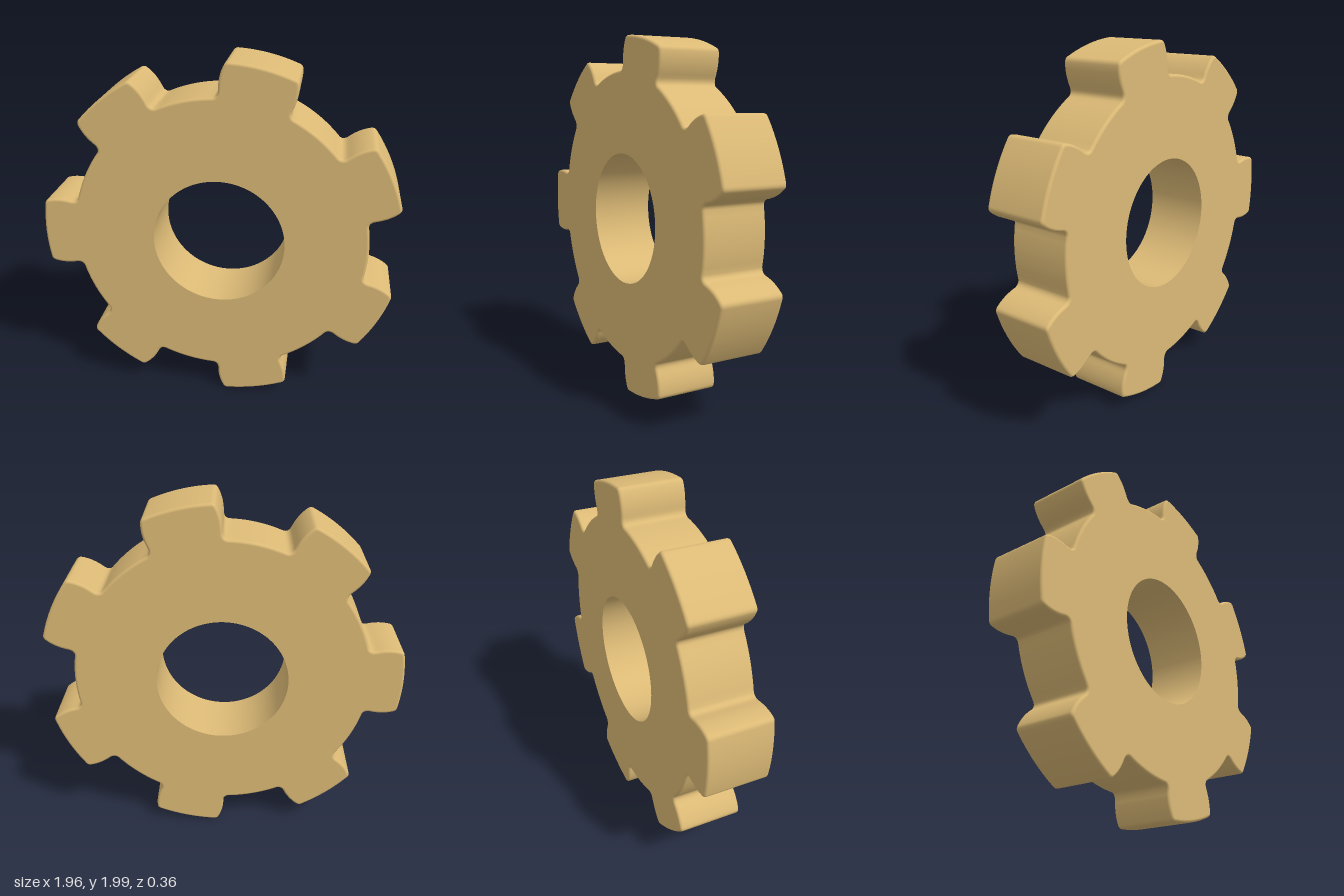
import * as THREE from 'three';

const TEETH = 7, ROOT = 0.815, TIP = 0.997, HOLE = 0.364;
const HALF_DEPTH = 0.18, BEVEL = 0.016, BEVEL_STEPS = 5;
const V = (x, y) => new THREE.Vector2(x, y);
const onCircle = (r, a) => V(r * Math.cos(a), r * Math.sin(a));

// Half a tooth pointing along +x, from root fillet over the bulged flank to the tip corner
function halfTooth() {
  const rootAngle = THREE.MathUtils.degToRad(15), tipAngle = THREE.MathUtils.degToRad(9.5);
  const curves = [
    [onCircle(ROOT, rootAngle), V(0.797, 0.189), V(0.825, 0.192), 6],
    [V(0.825, 0.192), V(0.9, 0.21), V(0.962, 0.192), 8],
    [V(0.962, 0.192), V(0.981, 0.186), onCircle(TIP, tipAngle), 6],
  ];
  const points = curves.flatMap(([a, b, c, n], i) =>
    new THREE.QuadraticBezierCurve(a, b, c).getPoints(n).slice(i ? 1 : 0));
  return { points, rootAngle, tipAngle };
}

// Counter-clockwise outline of the whole gear
function gearOutline() {
  const { points, rootAngle, tipAngle } = halfTooth();
  const step = (2 * Math.PI) / TEETH;
  const tooth = points.map((p) => V(p.x, -p.y));
  for (let i = 1; i < 8; i++) tooth.push(onCircle(TIP, tipAngle * (i / 4 - 1)));
  tooth.push(...[...points].reverse());
  for (let i = 1; i < 10; i++) tooth.push(onCircle(ROOT, rootAngle + (step - 2 * rootAngle) * i / 10));
  const outline = [];
  for (let k = 0; k < TEETH; k++)
    for (const p of tooth) outline.push(p.clone().rotateAround(V(0, 0), Math.PI + k * step));
  return outline;
}

// Skin made of rows running from the hole across the front, over the rim and back
function gearGeometry() {
  const outline = gearOutline(), n = outline.length;
  const outward = outline.map((p, i) => {
    const before = p.clone().sub(outline[(i + n - 1) % n]).normalize();
    const after = outline[(i + 1) % n].clone().sub(p).normalize();
    const t = before.add(after).normalize();
    return V(t.y, -t.x);
  });

  // Each row: hole or rim, z, inset, and the normal's radial and z parts
  const rows = [{ hole: true, z: HALF_DEPTH, out: 0, nz: 1 }];
  for (const side of [1, -1])
    for (let i = 0; i <= BEVEL_STEPS; i++) {
      const a = (side > 0 ? i : BEVEL_STEPS - i) / BEVEL_STEPS * Math.PI / 2;
      rows.push({
        z: side * (HALF_DEPTH - BEVEL + BEVEL * Math.cos(a)),
        inset: BEVEL * (1 - Math.sin(a)), out: Math.sin(a), nz: side * Math.cos(a),
      });
    }
  rows.push({ hole: true, z: -HALF_DEPTH, out: 0, nz: -1 });
  // Bore wall, with its own normals so the hole edges stay sharp
  rows.push({ hole: true, z: -HALF_DEPTH, out: -1, nz: 0 });
  rows.push({ hole: true, z: HALF_DEPTH, out: -1, nz: 0 });
  const boreBack = rows.length - 2;

  const position = [], normal = [], index = [];
  rows.forEach((row, r) => {
    outline.forEach((p, i) => {
      const radial = p.clone().normalize();
      const dir = row.hole ? radial : outward[i];
      const q = row.hole ? radial.clone().multiplyScalar(HOLE) : p.clone().addScaledVector(dir, -row.inset);
      position.push(q.x, q.y, row.z);
      normal.push(dir.x * row.out, dir.y * row.out, row.nz);
      if (r === rows.length - 1 || r === boreBack - 1) return;
      const j = (i + 1) % n, a = r * n + i, b = a + n, c = (r + 1) * n + j, d = r * n + j;
      index.push(a, b, c, a, c, d);
    });
  });
  const geometry = new THREE.BufferGeometry();
  geometry.setAttribute('position', new THREE.Float32BufferAttribute(position, 3));
  geometry.setAttribute('normal', new THREE.Float32BufferAttribute(normal, 3));
  geometry.setIndex(index);
  return geometry;
}

export function createModel() {
  const group = new THREE.Group();
  group.name = 'gear';
  const wheel = new THREE.Mesh(gearGeometry(), new THREE.MeshStandardMaterial({ color: 0xdcba76 }));
  wheel.name = 'gearWheel';
  wheel.position.set(0.015, 1, 0);
  group.add(wheel);
  return group;
}
